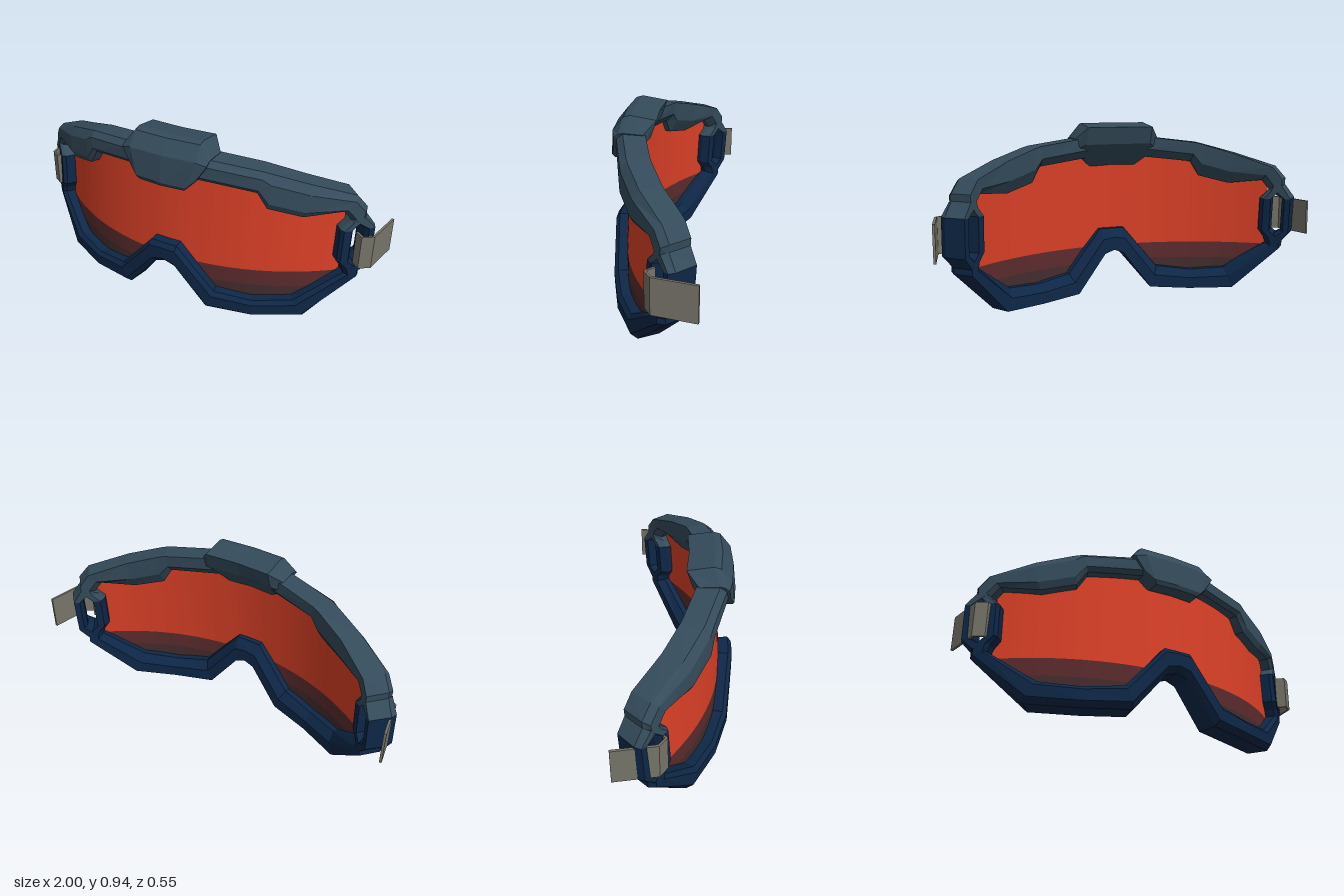
import * as THREE from 'three';

const mat = (name, color, side = THREE.FrontSide) => {
  const m = new THREE.MeshStandardMaterial({ color, side });
  m.name = name;
  return m;
};
const CX = -0.025; // the frame sits slightly to the right of the strap ends
const R = 1.364; // bend radius of the mask

// Wraps a flat point (u across, y up, d depth behind the front) onto the curve
function bend(u, y, d) {
  const a = Math.asin(u / R);
  const lean = 0.06 * Math.max(0, y - 0.36);
  return new THREE.Vector3(CX + (R - d) * Math.sin(a), y, 0.27 - R + (R - d) * Math.cos(a) - lean);
}

// Flat-shaded solid through a row of equal-length convex cross-sections
function loft(sections) {
  const tris = [];
  const n = sections[0].length;
  for (let i = 0; i < sections.length - 1; i++) {
    for (let j = 0; j < n; j++) {
      const k = (j + 1) % n;
      const a = sections[i][j], b = sections[i][k], c = sections[i + 1][k], d = sections[i + 1][j];
      tris.push([a, b, c], [a, c, d]);
    }
  }
  const first = sections[0], last = sections[sections.length - 1];
  for (let j = 1; j < n - 1; j++) {
    tris.push([first[0], first[j + 1], first[j]], [last[0], last[j], last[j + 1]]);
  }
  // Turn the faces outwards
  let volume = 0;
  const cross = new THREE.Vector3();
  for (const [a, b, c] of tris) volume += a.dot(cross.crossVectors(b, c));
  if (volume < 0) tris.forEach((t) => t.reverse());
  const g = new THREE.BufferGeometry().setFromPoints(tris.flat());
  g.computeVertexNormals();
  return g;
}

// Frame profile: [0 = inner rim .. 1 = outer rim, depth]
const RIM = [[0, 0.1], [0, 0.02], [0.2, 0], [0.75, 0], [1, 0.03], [1, 0.14], [0.4, 0.14]];
// Each station: outer u, outer y, inner u, inner y
const rim = (stations) => loft(stations.map(([ou, oy, iu, iy]) =>
  RIM.map(([t, d]) => bend(iu + (ou - iu) * t, iy + (oy - iy) * t, d))));
const flip = (stations) => stations.map(([ou, oy, iu, iy]) => [-ou, oy, -iu, iy]);
// Full arch from a half that starts at the centre
const arch = (half) => rim([...flip(half.slice(1)).reverse(), ...half]);

const UPPER = [
  [0, 0.86, 0, 0.755], [0.23, 0.86, 0.18, 0.755], [0.49, 0.83, 0.465, 0.725],
  [0.53, 0.82, 0.515, 0.645], [0.7, 0.77, 0.675, 0.605], [0.89, 0.7, 0.84, 0.625],
  [0.935, 0.635, 0.875, 0.575], [0.935, 0.585, 0.86, 0.555], [0.89, 0.525, 0.835, 0.525],
];
const LOWER = [
  [0, 0.245, 0, 0.36], [0.06, 0.225, 0.075, 0.36], [0.235, 0.02, 0.28, 0.13],
  [0.475, 0.005, 0.475, 0.105], [0.715, 0.015, 0.665, 0.12], [0.935, 0.25, 0.87, 0.275],
  [0.935, 0.3, 0.86, 0.31], [0.89, 0.35, 0.835, 0.35], [0.89, 0.525, 0.835, 0.525],
];
const ARM = [[0.935, 0.6, 0.88, 0.565], [0.975, 0.53, 0.935, 0.525]];
const BAR = [[0.975, 0.53, 0.935, 0.525], [0.975, 0.34, 0.935, 0.35], [0.935, 0.28, 0.88, 0.31]];

// Piecewise linear lookup
function lookup(table, x) {
  for (let i = 1; i < table.length; i++) {
    const [x0, y0] = table[i - 1], [x1, y1] = table[i];
    if (x <= x1) return y0 + (y1 - y0) * (x - x0) / (x1 - x0);
  }
  return table[table.length - 1][1];
}
const LENS_TOP = [[0, 0.78], [0.2, 0.78], [0.48, 0.75], [0.53, 0.67], [0.68, 0.63], [0.84, 0.65], [0.865, 0.6]];
const LENS_BOTTOM = [[0, 0.33], [0.075, 0.33], [0.28, 0.1], [0.475, 0.08], [0.665, 0.095], [0.865, 0.26]];

// Horizontal band of the curved lens between two heights
function lensBand(y0, y1) {
  const N = 48;
  const pts = [], index = [];
  for (let i = 0; i <= N; i++) {
    const u = -0.865 + 1.73 * i / N;
    const lo = lookup(LENS_BOTTOM, Math.abs(u)), hi = lookup(LENS_TOP, Math.abs(u));
    for (const y of [y0, y1]) pts.push(bend(u, THREE.MathUtils.clamp(y, lo, hi), 0.07));
    const k = 2 * i;
    if (i < N) index.push(k, k + 2, k + 3, k, k + 3, k + 1);
  }
  const g = new THREE.BufferGeometry().setFromPoints(pts);
  g.setIndex(index);
  g.computeVertexNormals();
  return g;
}

// Raised brow block; each profile point is [z, y, half width]
function browBlock() {
  const core = [[0.18, 0.7, 0.125], [0.255, 0.7, 0.125], [0.265, 0.72, 0.14], [0.25, 0.86, 0.18],
    [0.195, 0.93, 0.18], [0.16, 0.94, 0.18], [0.03, 0.92, 0.18], [0.06, 0.83, 0.18]];
  const end = [[0.16, 0.755, 0.18], [0.24, 0.755, 0.18], [0.245, 0.765, 0.185], [0.235, 0.845, 0.235],
    [0.21, 0.86, 0.235], [0.19, 0.865, 0.235], [0.09, 0.86, 0.235], [0.1, 0.8, 0.235]];
  const section = (profile, s, bulge = 0) => profile.map(([z, y, w]) =>
    new THREE.Vector3(CX + w * s, y, z + bulge));
  return loft([section(end, -1), section(core, -1), section(core, 0, 0.01), section(core, 1), section(end, 1)]);
}

// Strap: a thin ribbon hooked round the side bar, s = side
function strap(s) {
  const path = [[0.872, -0.075], [0.908, -0.04], [0.955, -0.07], [0.992, -0.275]];
  const T = 0.006;
  return loft(path.map(([x, z], i) => {
    const [ax, az] = path[Math.max(0, i - 1)], [bx, bz] = path[Math.min(3, i + 1)];
    const l = Math.hypot(bx - ax, bz - az);
    const nx = -(bz - az) / l * T, nz = (bx - ax) / l * T;
    return [[1, 0.34], [1, 0.52], [-1, 0.52], [-1, 0.34]].map(([k, y]) =>
      new THREE.Vector3(s * (x + k * nx), y, z + k * nz));
  }));
}

export function createModel() {
  const slate = mat('slate', 0x344b5b);
  const navy = mat('navy', 0x0e2747);
  const orange = mat('lens orange', 0xdb4027, THREE.DoubleSide);
  const maroon = mat('lens maroon', 0x5c2b2d, THREE.DoubleSide);
  const brown = mat('lens dark brown', 0x442c2e, THREE.DoubleSide);
  const grey = mat('strap grey', 0x77756a);

  const model = new THREE.Group();
  model.name = 'goggles';
  const add = (name, geometry, material) => {
    const mesh = new THREE.Mesh(geometry, material);
    mesh.name = name;
    model.add(mesh);
  };

  add('upperFrame', arch(UPPER), slate);
  add('browBlock', browBlock(), slate);
  add('lowerFrame', arch(LOWER), navy);
  add('lensMain', lensBand(0.26, 1), orange);
  add('lensLowerBand', lensBand(0.17, 0.26), maroon);
  add('lensBottomBand', lensBand(0, 0.17), brown);

  // Strap loops and straps on both sides
  for (const [side, s] of [['left', 1], ['right', -1]]) {
    const place = (stations) => rim(s > 0 ? stations : flip(stations));
    add(side + 'LoopArm', place(ARM), slate);
    add(side + 'LoopBar', place(BAR), navy);
    add(side + 'Strap', strap(s), grey);
  }
  return model;
}
